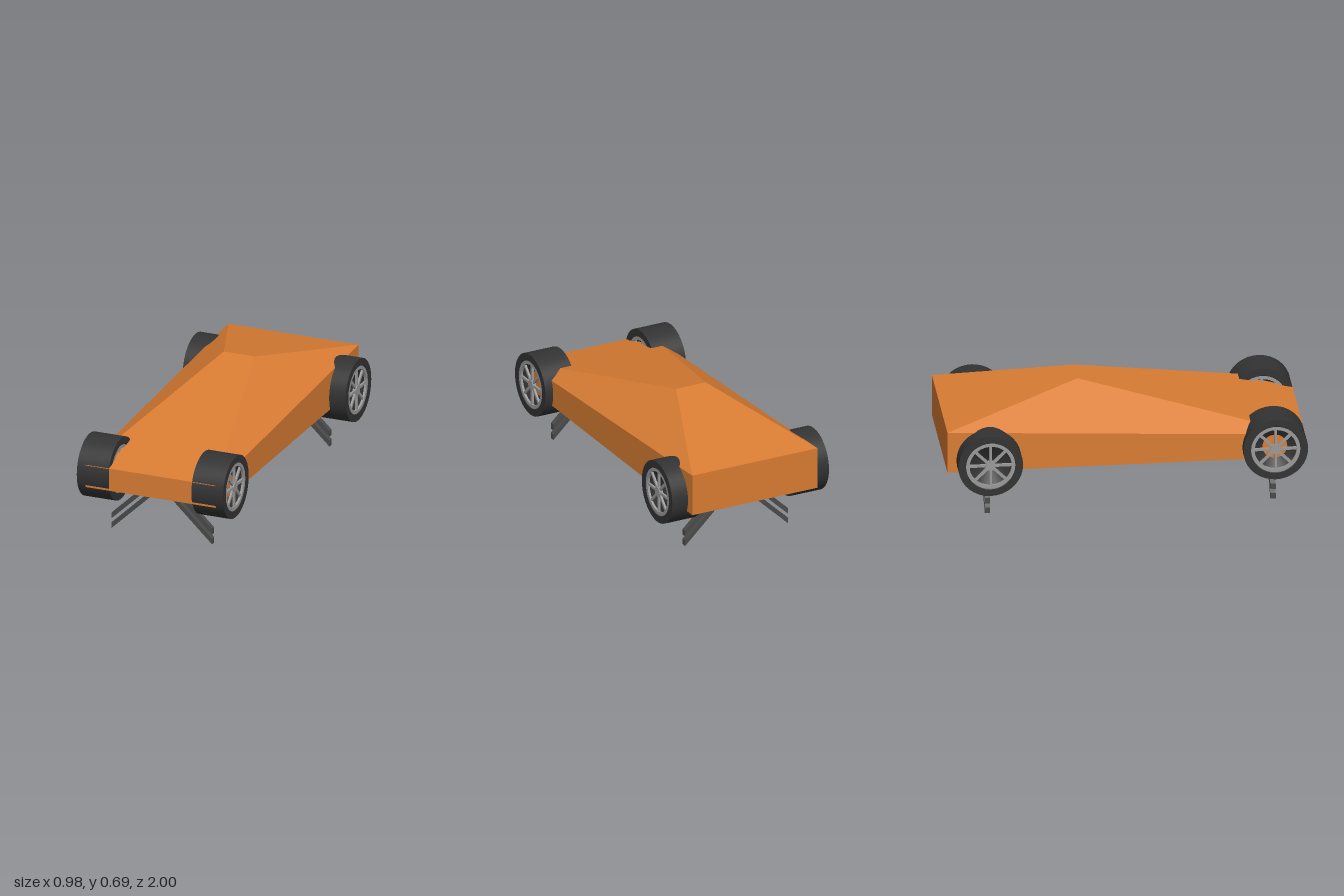
import * as THREE from 'three';
import { toCreasedNormals } from 'three/addons/utils/BufferGeometryUtils.js';
import { ConvexGeometry } from 'three/addons/geometries/ConvexGeometry.js';

const mat = (color) => new THREE.MeshStandardMaterial({ color });
const paint = mat(0xd97c33);
const rubber = mat(0x333333);
const alloy = mat(0x999999);
const steel = mat(0x4a4a4a);

function add(parent, name, geometry, material) {
  const mesh = new THREE.Mesh(geometry, material);
  mesh.name = name;
  parent.add(mesh);
  return mesh;
}

// Solid of revolution with sharp edges, around y
function turned(points, segments = 36) {
  const profile = points.map(([r, y]) => new THREE.Vector2(r, y));
  return toCreasedNormals(new THREE.LatheGeometry(profile, segments), 0.5);
}

// Faceted wedge body: box base, rising side line, short roof ridge
function makeBody() {
  const points = [];
  for (const s of [-1, 1]) {
    points.push(
      new THREE.Vector3(s * 0.392, 0.29, 0.99),
      new THREE.Vector3(s * 0.392, 0.29, -1),
      new THREE.Vector3(s * 0.392, 0.422, 0.99),
      new THREE.Vector3(s * 0.392, 0.53, -1),
      new THREE.Vector3(s * 0.093, 0.69, -0.245)
    );
  }
  return new ConvexGeometry(points);
}

// Wheel with conical dishes and spoked rims on both faces
function makeWheel() {
  const wheel = new THREE.Group();
  const w = 0.095;
  add(wheel, 'tyre', turned([[0, 0], [0.14, -w], [0.18, -w], [0.18, w], [0.14, w], [0, 0]]), rubber);
  for (const s of [-1, 1]) {
    const face = new THREE.Group();
    face.name = 'rim';
    face.position.y = s * 0.083;
    add(face, 'rimRing', turned([[0.117, -0.01], [0.139, -0.01], [0.139, 0.01], [0.117, 0.01], [0.117, -0.01]]), alloy);
    add(face, 'hub', new THREE.CylinderGeometry(0.028, 0.028, 0.022, 20), alloy);
    for (let i = 0; i < 8; i++) {
      const a = (i * Math.PI) / 4;
      const spoke = add(face, 'spoke', new THREE.BoxGeometry(0.1, 0.012, 0.015), alloy);
      spoke.position.set(Math.cos(a) * 0.072, 0, Math.sin(a) * 0.072);
      spoke.rotation.y = -a;
    }
    wheel.add(face);
  }
  wheel.rotation.z = Math.PI / 2;
  return wheel;
}

// Slanted bar with vertical ends; a and b are its lower corners
function makeBar([ax, ay], [bx, by], height, depth) {
  const shape = new THREE.Shape([
    new THREE.Vector2(ax, ay),
    new THREE.Vector2(bx, by),
    new THREE.Vector2(bx, by + height),
    new THREE.Vector2(ax, ay + height)
  ]);
  return new THREE.ExtrudeGeometry(shape, { depth, bevelEnabled: false }).translate(0, 0, -depth / 2);
}

export function createModel() {
  const model = new THREE.Group();
  model.name = 'car';
  add(model, 'body', makeBody(), paint);

  const axles = [
    { name: 'front', z: 0.82, x: 0.345, reach: 0.303 },
    { name: 'rear', z: -0.77, x: 0.395, reach: 0.322 }
  ];
  for (const { name, z, x, reach } of axles) {
    const axle = new THREE.Group();
    axle.name = name + 'Axle';
    axle.position.z = z;
    for (const s of [-1, 1]) {
      const wheel = makeWheel();
      wheel.name = name + (s > 0 ? 'LeftWheel' : 'RightWheel');
      wheel.position.set(s * x, 0.36, 0);
      axle.add(wheel);

      // Pair of splayed arms below the body
      for (const y of [0.002, 0.06]) {
        add(axle, 'lowerArm', makeBar([0, y + reach * 0.95], [s * reach, y], 0.034, 0.03), steel);
      }
      // Nearly level link to the wheel
      add(axle, 'axleLink', makeBar([0, 0.303], [s * (x - 0.05), 0.279], 0.02, 0.03), steel);
    }
    model.add(axle);
  }
  return model;
}
